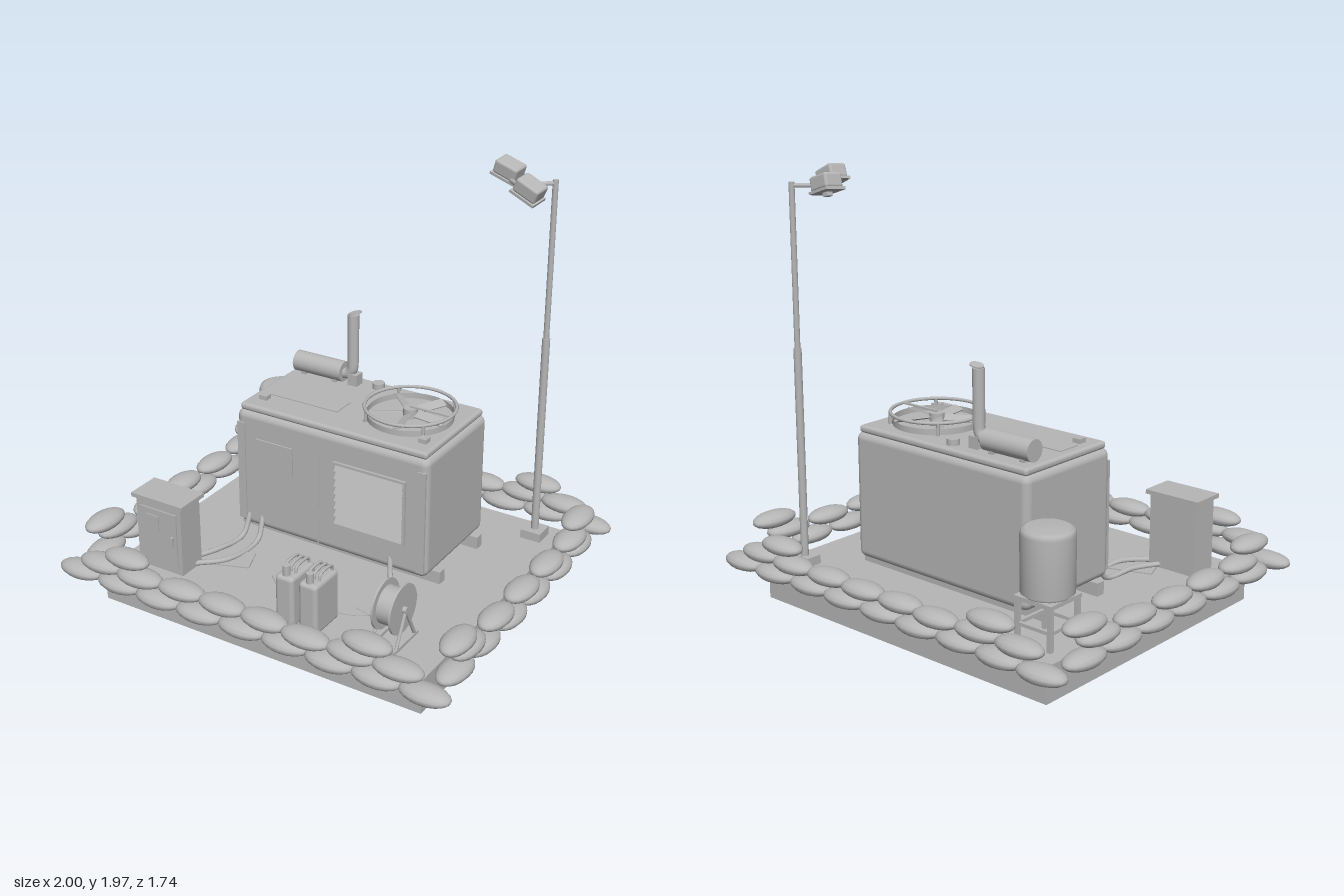
import * as THREE from 'three';
import { RoundedBoxGeometry } from 'three/addons/geometries/RoundedBoxGeometry.js';

const grey = new THREE.MeshStandardMaterial({ color: 0xb6b6b6, side: THREE.DoubleSide });
grey.name = 'plain grey';

const box = (w, h, d) => new THREE.BoxGeometry(w, h, d);
const cyl = (r, h, n = 20, r2 = r) => new THREE.CylinderGeometry(r2, r, h, n);
const round = (w, h, d, r) => new RoundedBoxGeometry(w, h, d, 3, r);
const V = (p) => new THREE.Vector3(...p);

function add(parent, name, geo, pos = [0, 0, 0], rot = [0, 0, 0]) {
  const m = new THREE.Mesh(geo, grey);
  m.name = name;
  m.position.set(...pos);
  m.rotation.set(...rot);
  parent.add(m);
  return m;
}
function sub(parent, name, pos = [0, 0, 0], rot = [0, 0, 0]) {
  const g = new THREE.Group();
  g.name = name;
  g.position.set(...pos);
  g.rotation.set(...rot);
  parent.add(g);
  return g;
}
// Tube through a few points
function tube(parent, name, pts, r, n = 10) {
  const c = new THREE.CatmullRomCurve3(pts.map(V), false, 'centripetal');
  return add(parent, name, new THREE.TubeGeometry(c, pts.length > 2 ? 24 : 1, r, n));
}

const GROUND = 0.16;

function sandbags(root) {
  const wall = sub(root, 'sandbagWall');
  let seed = 7;
  const jitter = (a) => ((seed = (seed * 16807) % 2147483647) / 2147483647 - 0.5) * a;
  const bagGeo = new THREE.SphereGeometry(1, 14, 10);
  bagGeo.rotateZ(Math.PI / 2);
  bagGeo.scale(0.117, 0.038, 0.066);
  const bag = (x, y, z, yaw) =>
    add(wall, 'sandbag', bagGeo, [x, y, z], [0, yaw + jitter(0.1), 0]);
  const H = [0.184, 0.255, 0.325];
  for (const s of [-1, 1]) {
    for (let i = 0; i < 9; i++) bag(-0.884 + i * 0.221, H[0], s * 0.795 + jitter(0.02), 0);
    for (let i = 0; i < 8; i++) bag(-0.76 + i * 0.217, H[1], s * 0.795 + jitter(0.02), 0);
    for (let i = 0; i < 6; i++) bag(s * 0.915 + jitter(0.012), H[0], -0.59 + i * 0.236, Math.PI / 2);
    for (let i = 0; i < 5; i++) bag(s * 0.915 + jitter(0.012), H[1], -0.5 + i * 0.25, Math.PI / 2);
    for (const e of [-1, 1]) {
      bag(e * 0.615, H[2], s * 0.795, 0);
      bag(s * 0.915, H[2], e * 0.585, Math.PI / 2);
    }
  }
}

function generator(root) {
  const g = sub(root, 'generator');
  const cx = -0.007, cz = -0.178;
  add(g, 'housing', round(1.005, 0.59, 0.555, 0.035), [cx, 0.505, cz]);
  add(g, 'lid', round(0.975, 0.035, 0.53, 0.015), [cx, 0.812, cz]);
  for (const z of [-0.36, 0]) add(g, 'skid', box(1.07, 0.06, 0.045), [cx, 0.19, z]);
  // Front details
  const fz = 0.1;
  add(g, 'controlPanel', box(0.2, 0.14, 0.008), [-0.3, 0.605, fz + 0.003]);
  add(g, 'doorSeam', box(0.006, 0.46, 0.006), [-0.065, 0.45, fz]);
  for (const x of [-0.48, 0.468]) add(g, 'cornerStrip', box(0.04, 0.5, 0.012), [x, 0.49, fz]);
  const louvre = sub(g, 'louvre', [0.205, 0.515, fz]);
  for (const s of [-1, 1]) {
    add(louvre, 'louvreSide', box(0.012, 0.32, 0.016), [s * 0.18, 0, 0.004]);
    add(louvre, 'louvreRail', box(0.36, 0.012, 0.016), [0, s * 0.154, 0.004]);
  }
  for (let i = 0; i < 8; i++)
    add(louvre, 'slat', box(0.35, 0.034, 0.005), [0, -0.133 + i * 0.038, 0.008], [-0.5, 0, 0]);
  // Roof details
  add(g, 'roofHatch', box(0.39, 0.006, 0.115), [-0.255, 0.831, -0.112]);
  for (const x of [-0.42, 0.415]) add(g, 'liftingLug', box(0.04, 0.024, 0.04), [x, 0.838, -0.008]);
  add(g, 'fillerCap', cyl(0.029, 0.03), [-0.037, 0.842, -0.383]);

  // Exhaust
  const ex = sub(g, 'exhaust', [0, 0, -0.357]);
  add(ex, 'silencer', cyl(0.049, 0.26, 24), [-0.337, 0.882, 0], [0, 0, Math.PI / 2]);
  for (const x of [-0.42, -0.25]) add(ex, 'silencerMount', box(0.025, 0.05, 0.06), [x, 0.845, 0]);
  add(ex, 'exhaustFlange', box(0.05, 0.055, 0.055), [-0.15, 0.86, 0]);
  tube(ex, 'exhaustElbow', [[-0.22, 0.875, 0], [-0.185, 0.882, 0], [-0.165, 0.905, 0], [-0.16, 0.95, 0]], 0.026, 16);
  add(ex, 'exhaustStack', cyl(0.027, 0.24), [-0.16, 1.06, 0]);
  add(ex, 'rainCap', cyl(0.031, 0.006), [-0.15, 1.19, 0], [0, 0, 0.25]);

  // Roof fan
  const fan = sub(g, 'roofFan', [0.243, 0.83, -0.19]);
  const flat = [Math.PI / 2, 0, 0];
  add(fan, 'fanCollar', new THREE.CylinderGeometry(0.198, 0.198, 0.03, 40, 1, true), [0, 0.012, 0]);
  add(fan, 'guardRing', new THREE.TorusGeometry(0.207, 0.008, 8, 44), [0, 0.055, 0], flat);
  add(fan, 'fanHub', cyl(0.033, 0.045), [0, 0.025, 0]);
  for (let i = 0; i < 4; i++) {
    const a = Math.PI / 4 + i * Math.PI / 2;
    add(fan, 'guardPost', cyl(0.008, 0.06, 8), [0.207 * Math.cos(a), 0.028, 0.207 * Math.sin(a)]);
  }
  for (let i = 0; i < 5; i++) {
    const arm = sub(fan, 'fanBlade', [0, 0.026, 0], [0, 0.02 + i * Math.PI * 0.4 + 1.1, 0]);
    add(arm, 'blade', box(0.15, 0.005, 0.045), [0.11, 0, 0], [0.4, 0, 0]);
  }
  add(fan, 'guardBar', box(0.2, 0.008, 0.012), [0.1, 0.053, 0]);
}

function fuelTank(root) {
  const t = sub(root, 'fuelTank', [-0.667, 0, -0.51]);
  const prof = [[0, 0.35], [0.09, 0.355], [0.114, 0.375], [0.115, 0.62], [0.108, 0.64], [0.09, 0.648], [0, 0.65]];
  add(t, 'tank', new THREE.LatheGeometry(prof.map((p) => new THREE.Vector2(...p)), 32));
  for (const x of [-1, 1]) {
    for (const z of [-1, 1]) add(t, 'tankLeg', box(0.02, 0.2, 0.02), [x * 0.085, 0.26, z * 0.085]);
    add(t, 'tankBrace', box(0.015, 0.015, 0.17), [x * 0.085, 0.24, 0]);
    add(t, 'tankBrace', box(0.17, 0.015, 0.015), [0, 0.24, x * 0.085]);
  }
  add(t, 'tankFrame', box(0.195, 0.018, 0.195), [0, 0.352, 0]);
  tube(root, 'fuelPipe', [[-0.63, 0.35, -0.47], [-0.6, 0.3, -0.42], [-0.56, 0.28, -0.32], [-0.5, 0.28, -0.28]], 0.012);
}

function cabinet(root) {
  const c = sub(root, 'switchCabinet', [-0.607, 0, 0.503]);
  add(c, 'cabinetBody', box(0.245, 0.34, 0.14), [0, 0.33, 0]);
  add(c, 'cabinetRoof', box(0.28, 0.02, 0.168), [0, 0.51, 0]);
  add(c, 'cabinetDoor', box(0.2, 0.27, 0.008), [0, 0.33, 0.073]);
  add(c, 'cabinetPlate', box(0.07, 0.07, 0.006), [-0.03, 0.4, 0.079]);
  add(c, 'cabinetHandle', box(0.012, 0.045, 0.016), [0.08, 0.33, 0.082]);
}

function jerryCan(root, x) {
  const j = sub(root, 'jerryCan', [x, 0, 0.575]);
  add(j, 'canBody', round(0.092, 0.245, 0.185, 0.02), [0, 0.283, 0]);
  for (const s of [-0.026, 0, 0.026])
    tube(j, 'canHandle', [[s, 0.4, -0.07], [s, 0.43, -0.06], [s, 0.43, 0.025], [s, 0.4, 0.035]], 0.007, 8);
  add(j, 'canSpout', cyl(0.017, 0.05, 14), [0, 0.425, 0.065]);
}

function cableReel(root) {
  const r = sub(root, 'cableReel', [0.57, 0.325, 0.505]);
  const side = [0, 0, Math.PI / 2];
  add(r, 'reelDrum', cyl(0.085, 0.08, 28), [0, 0, 0], side);
  for (const s of [-1, 1]) {
    add(r, 'reelFlange', cyl(0.113, 0.01, 32), [s * 0.042, 0, 0], side);
    for (const z of [-1, 1])
      tube(r, 'reelStand', [[s * 0.058, 0, 0], [s * 0.058, -0.16, z * 0.08]], 0.008, 8);
    add(r, 'reelFoot', box(0.014, 0.014, 0.2), [s * 0.058, -0.158, 0]);
  }
  add(r, 'reelAxle', cyl(0.015, 0.13, 14), [0, 0, 0], side);
}

function lampMast(root) {
  const m = sub(root, 'lampMast', [0.7, 0, -0.593]);
  add(m, 'mastBase', box(0.1, 0.045, 0.1), [0, 0.18, 0]);
  add(m, 'lowerMast', cyl(0.018, 1.0), [0, 0.67, 0]);
  add(m, 'upperMast', cyl(0.013, 0.74), [0, 1.53, 0]);
  tube(m, 'mastArm', [[0, 1.885, 0], [-0.12, 1.885, 0.105]], 0.01);
  tube(m, 'crossBar', [[-0.21, 1.875, 0.02], [-0.03, 1.89, 0.2]], 0.01);
  const lamp = (pos, rot) => {
    const l = sub(m, 'floodlight', pos, rot);
    add(l, 'lampBody', round(0.115, 0.065, 0.09, 0.012), [0, 0.01, 0]);
    add(l, 'lampRim', box(0.125, 0.012, 0.1), [0, -0.026, 0]);
    add(l, 'lampBracket', box(0.03, 0.02, 0.03), [0, -0.04, 0]);
  };
  lamp([-0.22, 1.907, 0.0], [0.1, -0.1, -0.3]);
  lamp([-0.022, 1.907, 0.212], [0.1, -0.1, -0.42]);
}

export function createModel() {
  const root = new THREE.Group();
  root.name = 'generatorSite';
  add(root, 'slab', box(1.645, GROUND, 1.41), [-0.005, GROUND / 2, -0.003]);
  sandbags(root);
  generator(root);
  fuelTank(root);
  cabinet(root);
  jerryCan(root, 0.125);
  jerryCan(root, 0.243);
  cableReel(root);
  lampMast(root);

  // Ground plates and stain
  const plates = [[-0.42, 0.35, 0.36], [-0.01, 0.3, 0.85], [0.4, 0.27, 1.35]];
  for (const [x, z, yaw] of plates)
    add(root, 'groundPlate', box(0.27, 0.006, 0.13), [x, GROUND + 0.003, z], [0, yaw, 0]);
  add(root, 'groundDisc', cyl(0.21, 0.004, 40), [0.25, GROUND + 0.002, 0.25]);

  // Cables
  const y = GROUND + 0.014;
  tube(root, 'cable', [[-0.45, 0.27, 0.09], [-0.455, y, 0.15], [-0.48, y, 0.32], [-0.55, y, 0.46]], 0.012);
  tube(root, 'cable', [[-0.38, 0.27, 0.09], [-0.37, y, 0.15], [-0.385, y, 0.36], [-0.5, y, 0.48]], 0.012);
  tube(root, 'cable', [[0.31, 0.27, 0.09], [0.34, y, 0.13], [0.5, y, 0.26], [0.54, y, 0.36], [0.56, 0.25, 0.44]], 0.012);
  return root;
}
